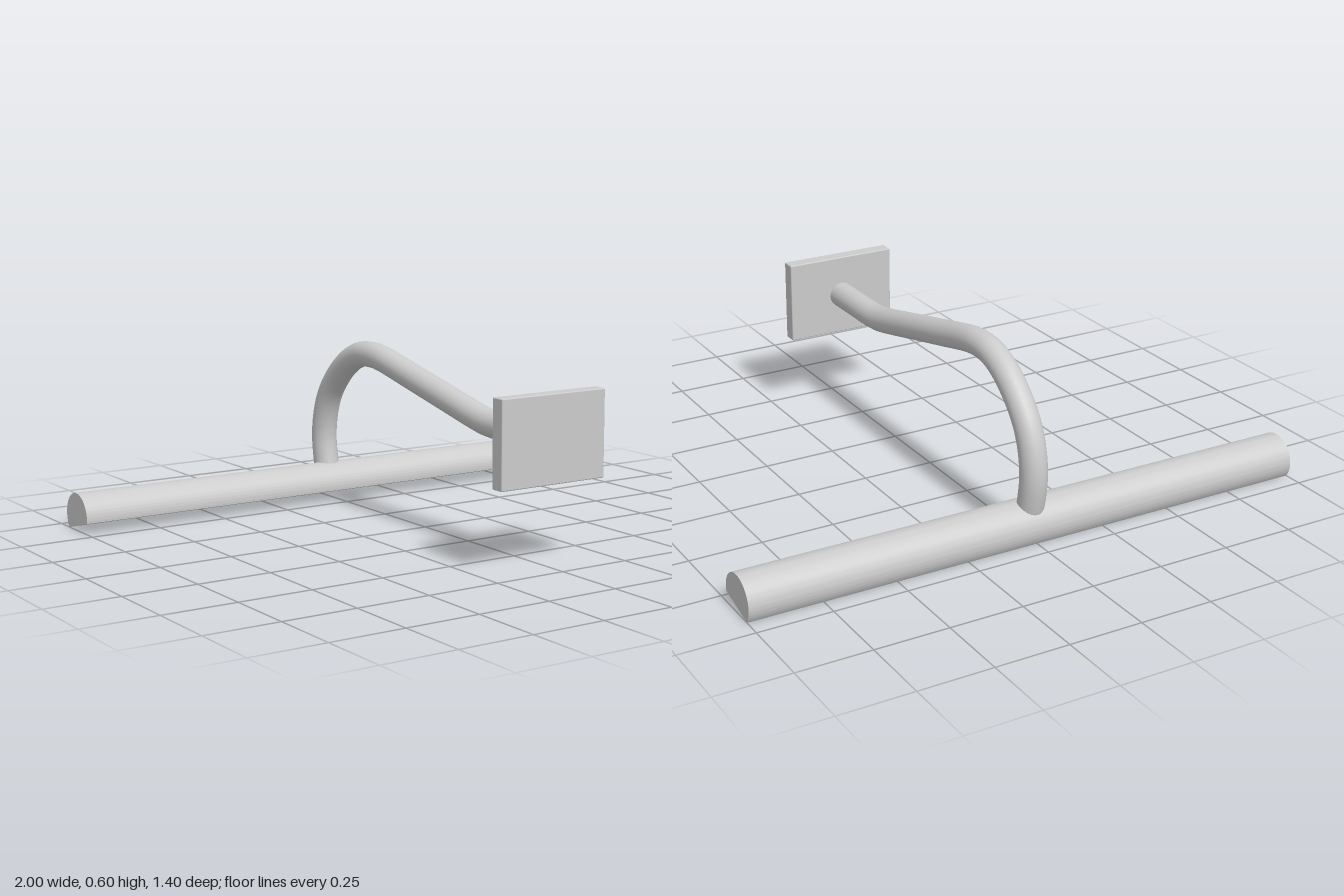
import * as THREE from 'three';
import { toCreasedNormals } from 'three/addons/utils/BufferGeometryUtils.js';
import { RoundedBoxGeometry } from 'three/addons/geometries/RoundedBoxGeometry.js';

export function createModel() {
  const group = new THREE.Group();
  const material = new THREE.MeshStandardMaterial({ color: 0xcccccc });
  const add = (name, geometry) => {
    const mesh = new THREE.Mesh(geometry, material);
    mesh.name = name;
    group.add(mesh);
    return mesh;
  };

  // Rectangular mounting plate
  add('mountingPlate', new RoundedBoxGeometry(0.4, 0.285, 0.05, 2, 0.004))
    .position.set(0, 0.408, 0.675);

  // Swan-neck arm, centre line as [z, y]
  const path = [
    [0.66, 0.409], [0.53, 0.409], [0.41, 0.409], [0.355, 0.413], [0.3, 0.423],
    [0.11, 0.466], [-0.08, 0.509], [-0.265, 0.55], [-0.325, 0.556], [-0.398, 0.55],
    [-0.478, 0.516], [-0.555, 0.454], [-0.612, 0.383], [-0.644, 0.304],
    [-0.655, 0.218], [-0.643, 0.128], [-0.637, 0.105],
  ].map(([z, y]) => new THREE.Vector3(0, y, z));
  const curve = new THREE.CatmullRomCurve3(path, false, 'centripetal');
  add('arm', new THREE.TubeGeometry(curve, 72, 0.045, 24));

  // Long lamp bar: rounded top, flat underside tilted towards the plate
  const radius = 0.081, rise = 0.03;
  const dip = Math.asin(rise / radius);
  const profile = new THREE.Shape();
  profile.absarc(0, rise, radius, -dip, Math.PI + dip, false);
  profile.closePath();
  const bar = new THREE.ExtrudeGeometry(profile, { depth: 2, bevelEnabled: false, curveSegments: 28 });
  bar.translate(0, 0, -1).rotateY(Math.PI / 2);
  const lampBar = add('lampBar', toCreasedNormals(bar, 0.6));
  lampBar.rotation.x = -0.25;
  lampBar.position.set(0, 0.0195, -0.612);

  return group;
}
